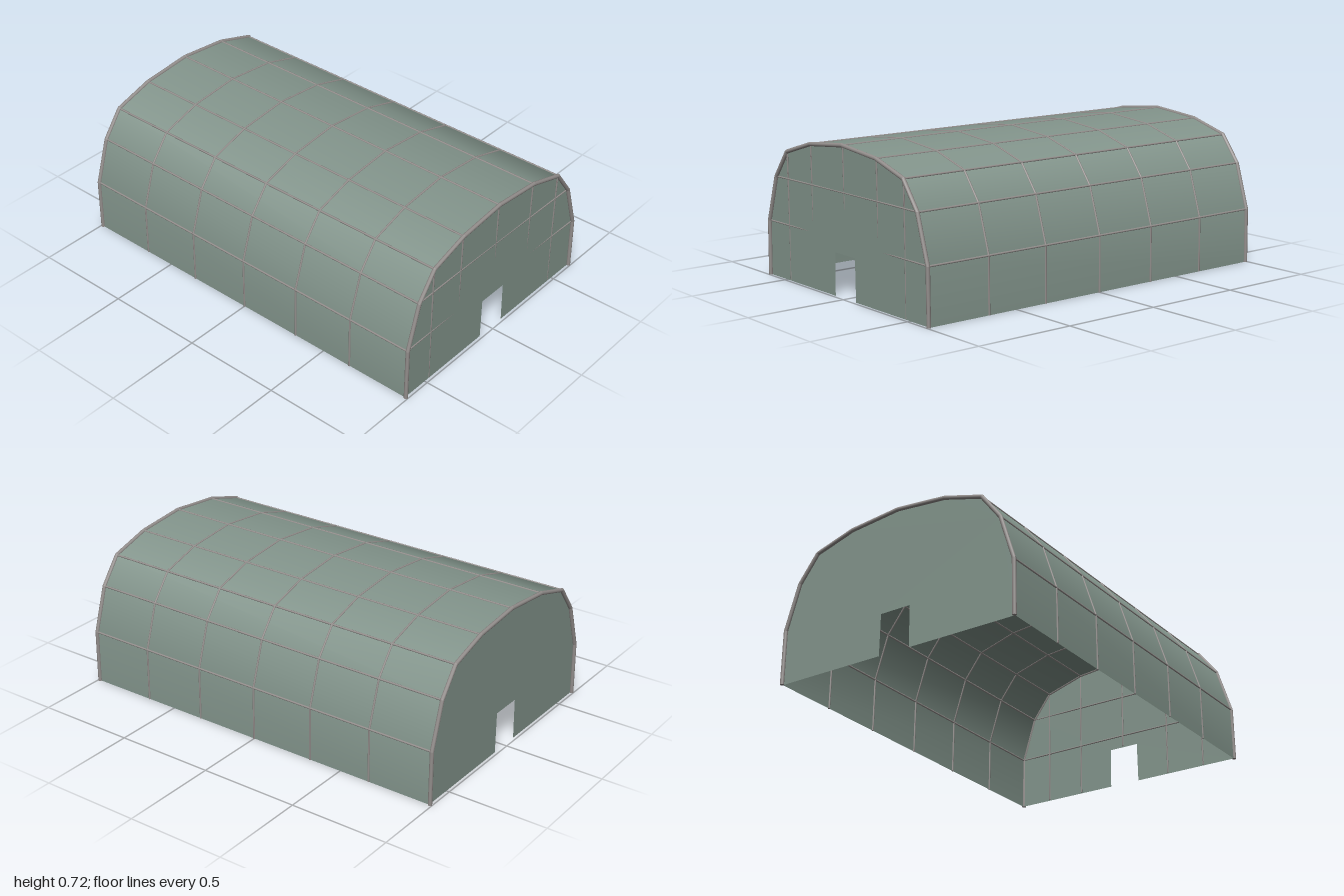
import * as THREE from 'three';

const HALF = [[0.642, 0], [0.639, 0.27], [0.568, 0.495], [0.468, 0.627], [0.264, 0.688], [0, 0.714]];
const ARCH = [...HALF, ...HALF.slice(0, -1).reverse().map(([x, y]) => [-x, y])];
const END_Z = 0.99;   // end hoops
const WALL_Z = 0.985; // end walls

export function createModel() {
  const model = new THREE.Group();
  const cloth = new THREE.MeshStandardMaterial({ color: 0x83958c, side: THREE.DoubleSide });
  const metal = new THREE.MeshStandardMaterial({ color: 0x938e8c });

  const add = (geometry, material, name, parent = model) => {
    const mesh = new THREE.Mesh(geometry, material);
    mesh.name = name;
    parent.add(mesh);
    return mesh;
  };

  // Straight pole between two points
  const pole = (a, b, r, name, parent) => {
    const dir = b.clone().sub(a);
    const mesh = add(new THREE.CylinderGeometry(r, r, dir.length(), 8), metal, name, parent);
    mesh.position.copy(a).add(b).multiplyScalar(0.5);
    mesh.quaternion.setFromUnitVectors(new THREE.Vector3(0, 1, 0), dir.normalize());
  };

  // Chain of poles with rounded joints
  const bentPole = (points, r, name) => {
    const group = new THREE.Group();
    group.name = name;
    model.add(group);
    points.forEach((p, i) => {
      if (i === 0) return;
      pole(points[i - 1], p, r, 'poleSection', group);
      if (i < points.length - 1) {
        add(new THREE.SphereGeometry(r, 8, 6), metal, 'poleJoint', group).position.copy(p);
      }
    });
  };

  // Roof cover: arch profile swept along z, smooth across the panels
  const positions = [], index = [];
  ARCH.forEach(([x, y], i) => {
    positions.push(x, y, WALL_Z, x, y, -WALL_Z);
    if (i === 0) return;
    const a = 2 * (i - 1);
    index.push(a, a + 1, a + 2, a + 2, a + 1, a + 3);
  });
  const cover = new THREE.BufferGeometry();
  cover.setAttribute('position', new THREE.Float32BufferAttribute(positions, 3));
  cover.setIndex(index);
  cover.computeVertexNormals();
  add(cover, cloth, 'roofCover');

  // End walls with a doorway cut up from the ground
  const outline = [...ARCH, [-0.083, 0], [-0.08, 0.206], [0.08, 0.206], [0.083, 0]];
  const wall = new THREE.ShapeGeometry(new THREE.Shape(outline.map(([x, y]) => new THREE.Vector2(x, y))));
  add(wall, cloth, 'frontWall').position.z = WALL_Z;
  const back = add(wall, cloth, 'backWall');
  back.position.z = -WALL_Z;
  back.rotation.y = Math.PI;

  // Hoops: thick at the ends, thin between
  for (let i = 0; i <= 6; i++) {
    const end = i === 0 || i === 6;
    const z = end ? Math.sign(i - 3) * END_Z : (i - 3) * 0.329;
    bentPole(ARCH.map(([x, y]) => new THREE.Vector3(x, y, z)), end ? 0.01 : 0.005, end ? 'endHoop' : 'hoop');
  }

  // Long purlins at every bend of the arch
  ARCH.slice(1, -1).forEach(([x, y]) =>
    pole(new THREE.Vector3(x, y, END_Z), new THREE.Vector3(x, y, -END_Z), 0.005, 'purlin', model));

  // Front wall bars, sinking behind the cloth toward the doorway
  const barPoint = (x, y) =>
    new THREE.Vector3(x, y, WALL_Z - 0.004 + 0.02 * (Math.hypot(x, y) - 0.4));
  const bar = (x0, y0, x1, y1, name) => {
    const points = [];
    for (let i = 0; i <= 8; i++) {
      const t = i / 8;
      points.push(barPoint(x0 + (x1 - x0) * t, y0 + (y1 - y0) * t));
    }
    bentPole(points, 0.004, name);
  };
  ARCH.slice(3, -3).forEach(([x, y]) => bar(x, x === 0 ? 0.21 : 0.004, x, y, 'wallUpright'));
  for (const [x, y] of HALF.slice(1, 3)) bar(-x, y, x, y, 'wallCrossbar');

  return model;
}
